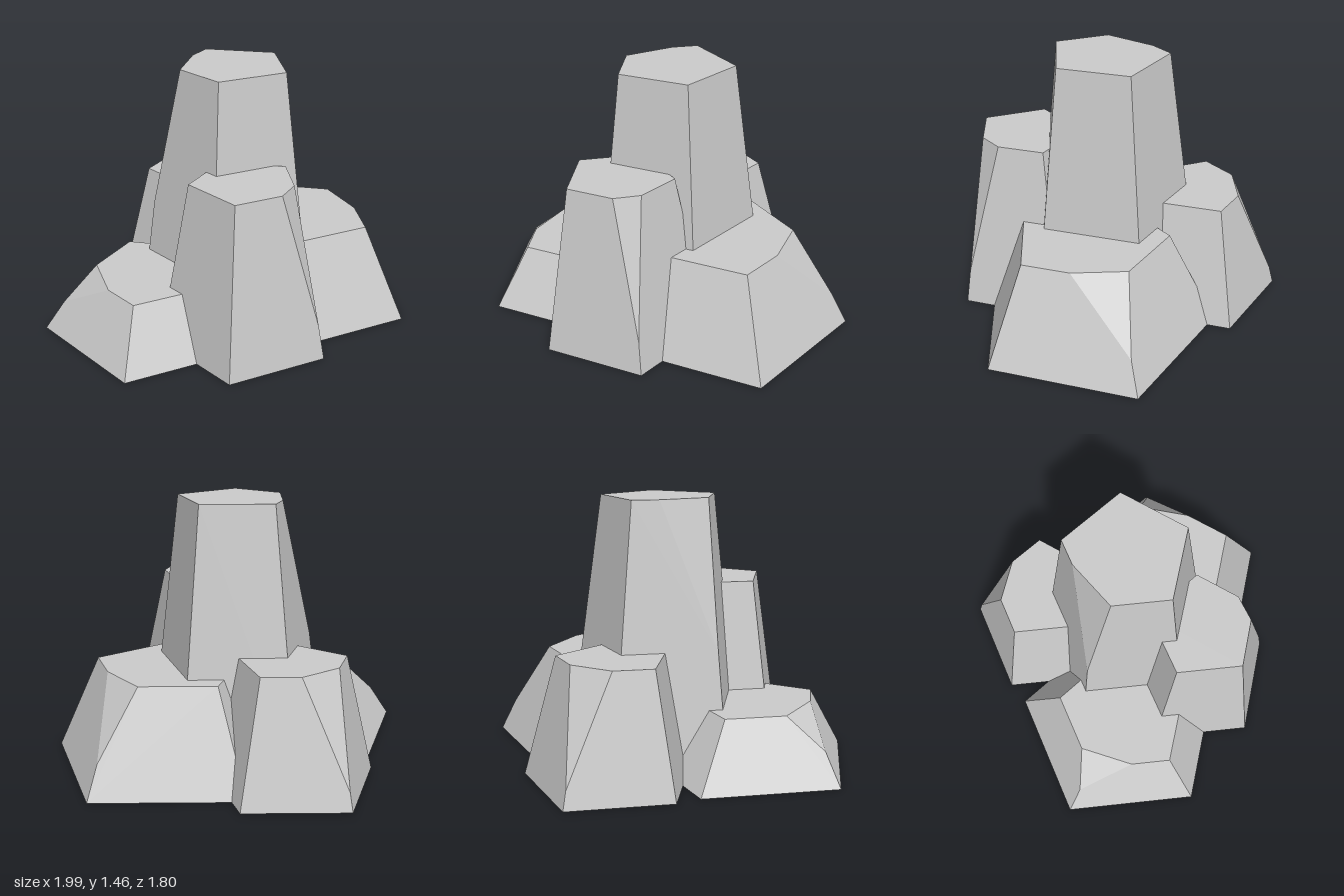
import * as THREE from 'three';
import { ConvexGeometry } from 'three/addons/geometries/ConvexGeometry.js';

// Regular pentagon ring; corner 0 points to the front, then right (+x), and round the back
function ring([cx, cz, r], y) {
  return Array.from({ length: 5 }, (_, i) => {
    const a = (i * Math.PI * 2) / 5;
    return new THREE.Vector3(cx + r * Math.sin(a), y, cz + r * Math.cos(a));
  });
}

// Tapered five-sided rock with one top corner chipped off.
// base and top are [x, z, radius]; chip tells how far the cut runs along
// the two top edges and how high on the upright edge it ends.
function rock({ name, height, base, top, chip }) {
  const lower = ring(base, 0);
  const upper = ring(top, height);
  const c = chip.corner;
  const corner = upper[c];
  const chipped = [
    corner.clone().lerp(upper[(c + 4) % 5], chip.toPrevious),
    corner.clone().lerp(upper[(c + 1) % 5], chip.toNext),
    lower[c].clone().lerp(corner, chip.rise),
  ];
  const points = [...lower, ...upper.filter((_, i) => i !== c), ...chipped];
  const material = new THREE.MeshStandardMaterial({ color: 0xcccccc, flatShading: true });
  const mesh = new THREE.Mesh(new ConvexGeometry(points), material);
  mesh.name = name;
  return mesh;
}

const ROCKS = [
  {
    name: 'centralRock', height: 1.455,
    base: [-0.035, -0.1, 0.527], top: [-0.027, -0.076, 0.336],
    chip: { corner: 4, toPrevious: 0.63, toNext: 0.23, rise: 0.45 },
  },
  {
    name: 'frontRock', height: 0.955,
    base: [0.135, 0.332, 0.48], top: [0.134, 0.355, 0.3],
    chip: { corner: 1, toPrevious: 0.25, toNext: 0.27, rise: 0.2 },
  },
  {
    name: 'backLeftRock', height: 0.545,
    base: [0.337, -0.223, 0.692], top: [0.333, -0.2, 0.44],
    chip: { corner: 2, toPrevious: 0.49, toNext: 0.2, rise: 0.33 },
  },
  {
    name: 'frontRightRock', height: 0.345,
    base: [-0.403, 0.273, 0.627], top: [-0.402, 0.3, 0.39],
    chip: { corner: 4, toPrevious: 0.28, toNext: 0.52, rise: 0.5 },
  },
  {
    name: 'backRightRock', height: 0.66,
    base: [-0.313, -0.518, 0.478], top: [-0.315, -0.5, 0.309],
    chip: { corner: 3, toPrevious: 0.43, toNext: 0.41, rise: 0.15 },
  },
];

export function createModel() {
  const group = new THREE.Group();
  group.name = 'rockCluster';
  ROCKS.forEach((spec) => group.add(rock(spec)));
  return group;
}
